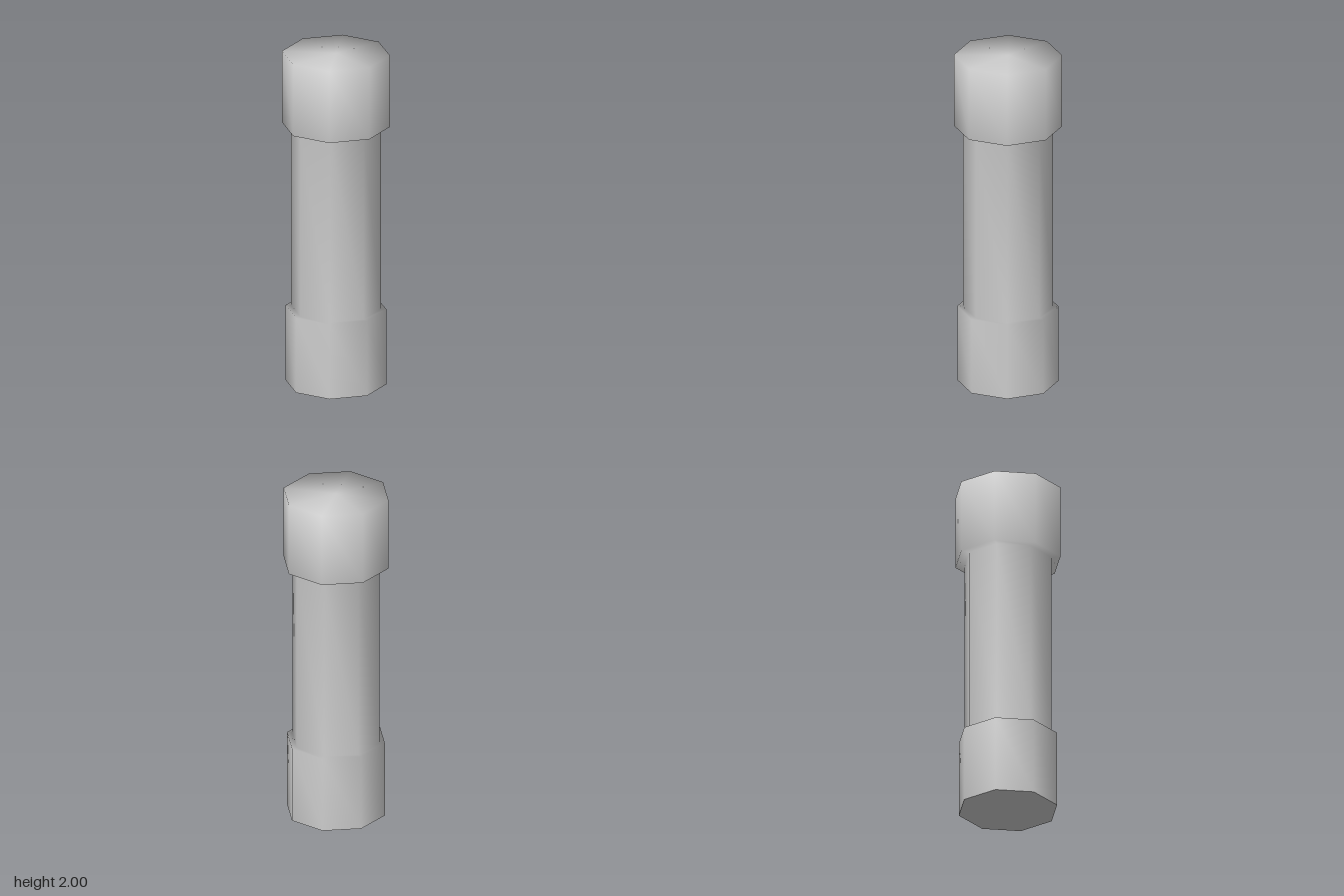
import * as THREE from 'three';
import { mergeVertices } from 'three/addons/utils/BufferGeometryUtils.js';

const SIDES = 8;
const LOWER_R = 0.29, SHAFT_R = 0.258, UPPER_R = 0.31;

export function createModel() {
  const group = new THREE.Group();
  group.name = 'post';
  const material = new THREE.MeshStandardMaterial({ color: 0xcccccc });

  // Octagonal post: lower collar, shaft, upper collar and closed top
  const profile = [
    [LOWER_R, 0], [LOWER_R, 0.455],
    [SHAFT_R, 0.455], [SHAFT_R, 1.565],
    [UPPER_R, 1.565], [UPPER_R, 2], [0, 2],
  ].map(([r, y]) => new THREE.Vector2(r, y));
  let geometry = new THREE.LatheGeometry(profile, SIDES);

  // Weld the seam and the top centre, then smooth across all the faces
  geometry.deleteAttribute('uv');
  geometry.deleteAttribute('normal');
  geometry = mergeVertices(geometry);
  geometry.computeVertexNormals();
  const body = new THREE.Mesh(geometry, material);
  body.name = 'shaftWithCollars';
  group.add(body);

  // Flat underside with a sharp edge
  const base = new THREE.Mesh(
    new THREE.CircleGeometry(LOWER_R, SIDES).rotateX(Math.PI / 2), material);
  base.name = 'underside';
  group.add(base);

  return group;
}
